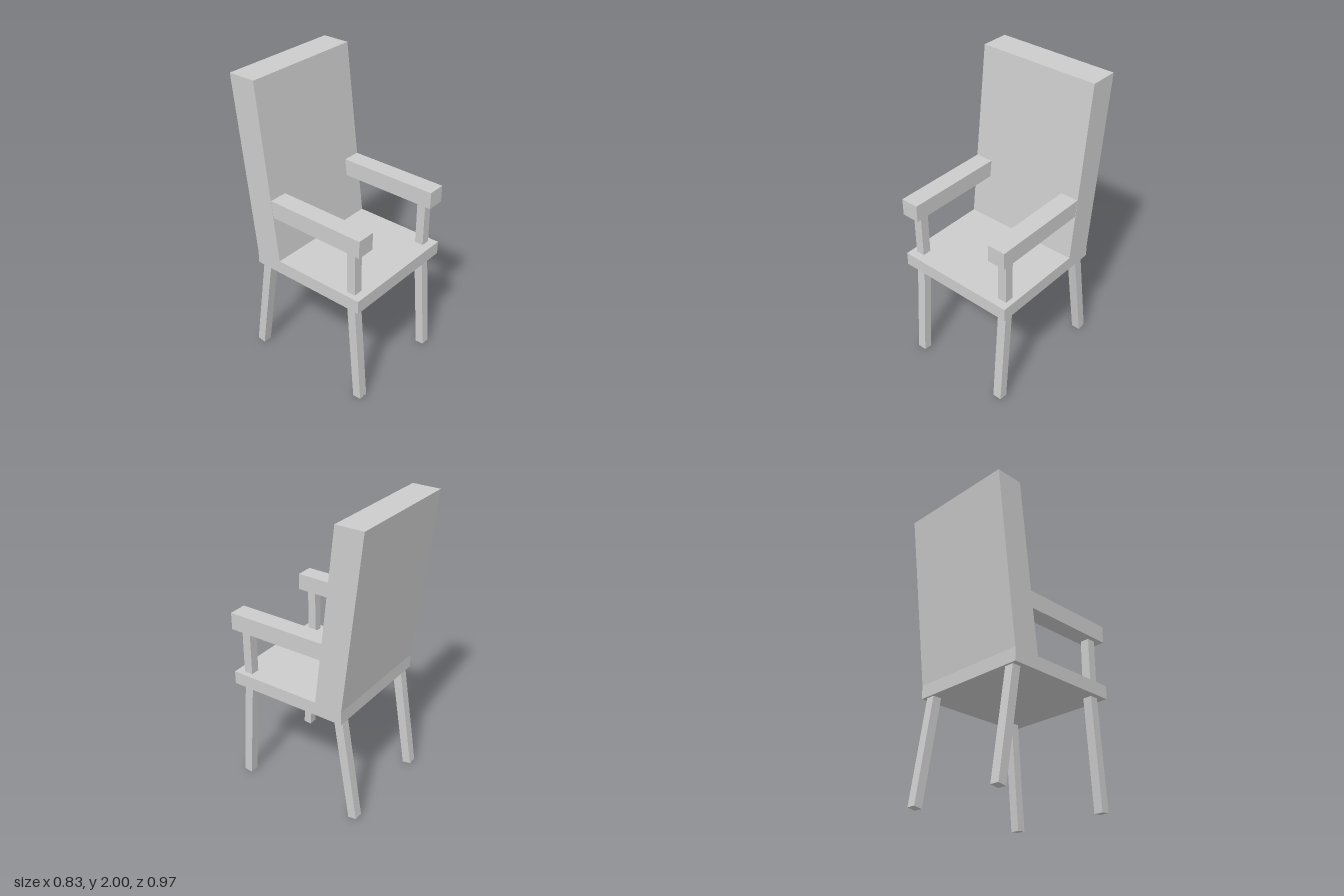
import * as THREE from 'three';

const material = new THREE.MeshStandardMaterial({ color: 0xcccccc, flatShading: true });

// Extrudes a side profile of [z, y] corners across the width from x0 to x1.
function slab(name, profile, x0, x1) {
  const shape = new THREE.Shape(profile.map(([z, y]) => new THREE.Vector2(z, y)));
  const geometry = new THREE.ExtrudeGeometry(shape, { depth: x1 - x0, bevelEnabled: false });
  geometry.rotateY(-Math.PI / 2);
  geometry.translate(x1, 0, 0);
  const mesh = new THREE.Mesh(geometry, material);
  mesh.name = name;
  return mesh;
}

const rect = (z0, z1, y0, y1) => [[z0, y0], [z1, y0], [z1, y1], [z0, y1]];

export function createModel() {
  const chair = new THREE.Group();
  chair.name = 'armchair';

  // Seat and leaning backrest
  chair.add(slab('seat', rect(-0.345, 0.485, 0.73, 0.82), -0.415, 0.415));
  const back = [[-0.345, 0.82], [-0.155, 0.82], [-0.295, 2], [-0.485, 2]];
  chair.add(slab('backrest', back, -0.415, 0.415));

  // Parts repeated on both sides
  const sideParts = [
    // Armrest, its rear end cut to the slope of the backrest
    ['Armrest', [[-0.192, 1.13], [0.485, 1.13], [0.485, 1.245], [-0.205, 1.245]], 0.29, 0.413],
    ['ArmPost', rect(0.37, 0.43, 0.82, 1.13), 0.318, 0.38],
    // Splayed legs with feet square to the leg
    ['FrontLeg', [[0.37, 0.73], [0.427, 0], [0.485, 0.005], [0.43, 0.73]], 0.318, 0.38],
    ['RearLeg', [[-0.33, 0.73], [-0.441, 0.01], [-0.383, 0], [-0.268, 0.73]], 0.318, 0.38],
  ];
  for (const [name, profile, inner, outer] of sideParts) {
    chair.add(slab('left' + name, profile, inner, outer));
    chair.add(slab('right' + name, profile, -outer, -inner));
  }

  return chair;
}
